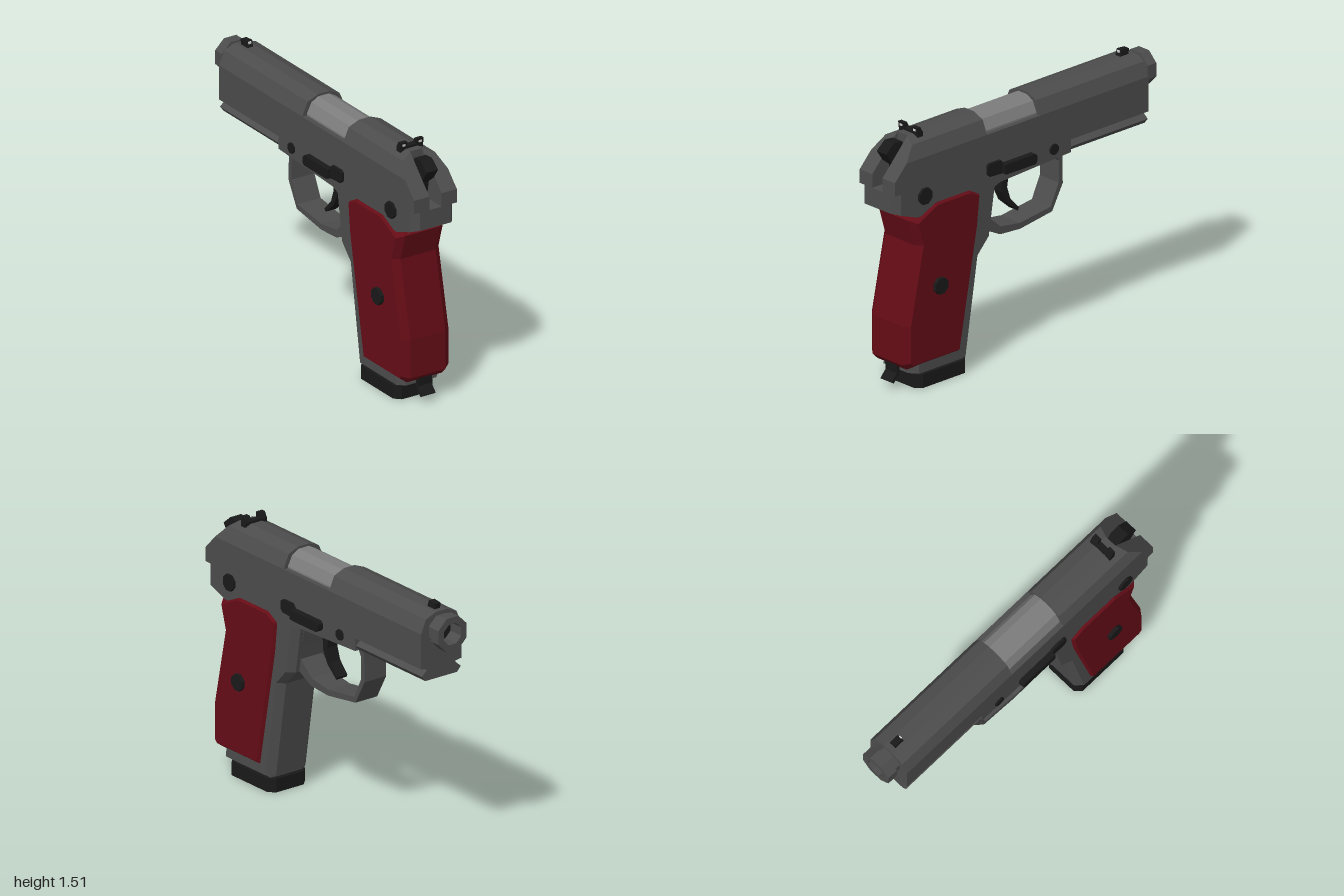
import * as THREE from 'three';

const mat = (color) => new THREE.MeshStandardMaterial({ color, flatShading: true, roughness: 0.8 });

export function createModel() {
  const model = new THREE.Group();
  const steel = mat(0x4c4c4c), black = mat(0x191919), red = mat(0x650c16), bare = mat(0x7c7c7c), white = mat(0xdddddd);

  const add = (name, geometry, material) => {
    geometry.computeVertexNormals();
    const mesh = new THREE.Mesh(geometry, material);
    mesh.name = name;
    model.add(mesh);
    return mesh;
  };
  const polygon = (points) => new THREE.Shape(points.map(([a, b]) => new THREE.Vector2(a, b)));

  // Side outline in (z, y), extruded across x from x0 to x1
  const sideways = (points, x0, x1, hole) => {
    const shape = polygon(points);
    if (hole) shape.holes.push(polygon(hole));
    return new THREE.ExtrudeGeometry(shape, { depth: x1 - x0, bevelEnabled: false })
      .rotateY(-Math.PI / 2).translate(x1, 0, 0);
  };
  // Cross-section in (x, y), extruded along z
  const along = (points, z0, z1) =>
    new THREE.ExtrudeGeometry(polygon(points), { depth: z1 - z0, bevelEnabled: false }).translate(0, 0, z0);
  // Mirror a half outline about x = 0
  const both = (half) => [...half, ...half.map(([x, y]) => [-x, y]).reverse()];
  const box = (x0, x1, y0, y1, z0, z1) =>
    new THREE.BoxGeometry(x1 - x0, y1 - y0, z1 - z0).translate((x0 + x1) / 2, (y0 + y1) / 2, (z0 + z1) / 2);
  // Stack of rectangles with cut corners: [y, zFront, zBack, halfWidth, cut]
  const stack = (sections) => {
    const position = [], index = [], n = 8, last = (sections.length - 1) * n;
    for (const [y, f, b, w, c] of sections) {
      const ring = [[w, b - c], [w, f + c], [w - c, f], [c - w, f], [-w, f + c], [-w, b - c], [c - w, b], [w - c, b]];
      for (const [x, z] of ring) position.push(x, y, z);
    }
    for (let s = 0; s < last; s += n) {
      for (let i = 0; i < n; i++) {
        const j = (i + 1) % n;
        index.push(s + i, s + j, s + n + j, s + i, s + n + j, s + n + i);
      }
    }
    for (let i = 1; i < n - 1; i++) index.push(0, i + 1, i, last, last + i, last + i + 1);
    const g = new THREE.BufferGeometry();
    g.setAttribute('position', new THREE.Float32BufferAttribute(position, 3));
    g.setIndex(index);
    return g;
  };

  // Slide, open at the top in the middle
  const crown = both([[0.14, 1.27], [0.14, 1.36], [0.105, 1.44], [0.037, 1.468]]);
  add('slideFront', along(crown, -0.9, -0.09), steel);
  add('slideRear', along(crown, 0.31, 0.81), steel);
  add('slideMiddle', box(-0.14, 0.14, 1.27, 1.36, -0.09, 0.31), steel);
  add('slideBase', box(-0.14, 0.14, 1.19, 1.27, -0.9, 0.81), steel);
  add('barrelChamber', along(both([[0.11, 1.35], [0.11, 1.37], [0.08, 1.43], [0.035, 1.455]]), -0.1, 0.32), bare);

  // Slanted slide tail, split by the hammer slot
  for (const s of [1, -1]) {
    const half = [[0.04, 1.27], [0.14, 1.27], [0.14, 1.36], [0.105, 1.44], [0.04, 1.467]];
    const g = along(half.map(([x, y]) => [s * x, y]), 0.81, 1);
    const p = g.attributes.position;
    for (let i = 0; i < p.count; i++) {
      if (p.getZ(i) > 0.9) p.setZ(i, Math.min(1, 0.81 + (1.47 - p.getY(i)) * 0.95));
    }
    add('slideTail', g, steel);
    add('slideTailBase', box(Math.min(s * 0.04, s * 0.14), Math.max(s * 0.04, s * 0.14), 1.19, 1.27, 0.81, 1), steel);
  }
  add('hammer', sideways([[0.97, 1.4], [0.91, 1.45], [0.85, 1.445], [0.81, 1.38], [0.81, 1.19],
    [0.86, 1.19], [0.88, 1.3], [0.925, 1.335]], -0.037, 0.037), black);

  // Muzzle: two hollow octagonal rings
  for (const [name, r, z0, z1] of [['muzzleNeck', 0.085, -0.94, -0.89], ['muzzleRing', 0.098, -1, -0.935]]) {
    const octagon = (apothem) => Array.from({ length: 8 }, (_, i) => {
      const a = (i + 0.5) * Math.PI / 4, k = apothem / Math.cos(Math.PI / 8);
      return [k * Math.cos(a), 1.36 + k * Math.sin(a)];
    });
    const shape = polygon(octagon(r));
    shape.holes.push(polygon(octagon(0.06)));
    add(name, new THREE.ExtrudeGeometry(shape, { depth: z1 - z0, bevelEnabled: false }).translate(0, 0, z0), steel);
  }
  add('bore', box(-0.06, 0.06, 1.3, 1.42, -0.905, -0.895), black);

  // Frame, with a rear end that narrows
  add('frame', sideways([[-0.32, 1.19], [0.955, 1.19], [0.955, 1.065], [0.83, 1.02], [0.3, 1.02],
    [0.21, 1.055], [-0.32, 1.08]], -0.14, 0.14), steel);
  const tail = sideways([[0.955, 1.19], [1, 1.19], [1, 1.08], [0.955, 1.065]], -0.14, 0.14);
  const tp = tail.attributes.position;
  for (let i = 0; i < tp.count; i++) if (tp.getZ(i) > 0.99) tp.setX(i, tp.getX(i) * 0.72);
  add('frameTail', tail, steel);
  add('accessoryRail', along(both([[0.14, 1.19], [0.14, 1.155], [0.1, 1.15], [0.1, 1.14],
    [0.135, 1.11], [0.11, 1.08]].reverse()), -0.9, -0.3), steel);

  // Trigger and guard
  add('triggerGuard', sideways(
    [[-0.315, 1.1], [-0.32, 0.88], [-0.24, 0.735], [0, 0.7], [0.15, 0.71], [0.27, 0.77], [0.3, 1.1]], -0.075, 0.075,
    [[-0.255, 1.075], [-0.29, 1.02], [-0.29, 0.89], [-0.23, 0.765], [0, 0.735], [0.145, 0.755], [0.245, 0.84], [0.205, 1.05]]), steel);
  add('trigger', sideways([[0.145, 1.07], [0.1, 1], [0.095, 0.93], [0.06, 0.86], [-0.02, 0.79], [-0.03, 0.805],
    [0.035, 0.875], [0.06, 0.95], [0.05, 1.01], [0.04, 1.07]], -0.035, 0.035), black);

  // Grip core, magazine foot and lanyard clip
  add('gripCore', stack([[0.1, 0.43, 0.86, 0.138, 0.04], [0.67, 0.34, 0.82, 0.138, 0.04],
    [0.76, 0.255, 0.8, 0.138, 0.04], [1.08, 0.205, 0.82, 0.138, 0.04]]), steel);
  add('magazineNeck', box(-0.11, 0.11, 0.07, 0.11, 0.46, 0.79), steel);
  add('magazineFoot', stack([[0, 0.432, 0.815, 0.13, 0.035], [0.08, 0.432, 0.815, 0.13, 0.035]]), black);
  add('lanyardClip', sideways([[0.9, 0.15], [0.895, 0.095], [0.935, 0.05], [0.92, 0.04], [0.875, 0.09],
    [0.875, 0.15]], -0.045, 0.045), black);

  // Wrap-around grip with chamfered edges
  const grip = polygon([[0.875, 1.005], [0.7, 1.09], [0.44, 1.09], [0.35, 1.04], [0.37, 0.85], [0.505, 0.135],
    [0.89, 0.135], [0.925, 0.17], [0.925, 0.4], [0.83, 0.85]]);
  add('grip', new THREE.ExtrudeGeometry(grip, {
    depth: 0.23, bevelThickness: 0.04, bevelSize: 0.03, bevelOffset: -0.03, bevelSegments: 1,
  }).rotateY(-Math.PI / 2).translate(0.115, 0, 0), red);

  // Pins through both sides: [name, z, y, radius, half length]
  for (const [name, z, y, r, h] of [['rearPin', 0.78, 1.135, 0.05, 0.155], ['gripScrew', 0.68, 0.585, 0.05, 0.176],
    ['frontPin', -0.19, 1.135, 0.032, 0.15]]) {
    add(name, new THREE.CylinderGeometry(r, r, 2 * h, 8).rotateY(Math.PI / 8).rotateZ(Math.PI / 2).translate(0, y, z), black);
  }

  // Slide stop levers
  for (const s of [1, -1]) {
    const plate = (points, x) => sideways(points, Math.min(s * 0.13, s * x), Math.max(s * 0.13, s * x));
    add('slideStopPlate', plate([[0.315, 1.13], [0.315, 1.18], [0.3, 1.19], [0.22, 1.19], [0.2, 1.165], [0.2, 1.11],
      [0.3, 1.115]], 0.157), black);
    add('slideStopLever', plate([[0.21, 1.11], [0.21, 1.165], [-0.02, 1.165], [-0.035, 1.15], [-0.035, 1.12],
      [-0.02, 1.105], [0.19, 1.105]], 0.177), black);
  }

  // Sights with pale dots
  add('frontSight', sideways([[-0.8, 1.46], [-0.815, 1.505], [-0.87, 1.5], [-0.865, 1.46]], -0.019, 0.019), black);
  add('frontSightDot', box(-0.009, 0.009, 1.487, 1.499, -0.83, -0.805), white);
  add('rearSightBase', box(-0.075, 0.075, 1.43, 1.482, 0.73, 0.768), black);
  for (const s of [1, -1]) {
    const x = s * 0.053;
    add('rearSightPost', sideways([[0.768, 1.47], [0.773, 1.51], [0.748, 1.51], [0.73, 1.475]], x - 0.022, x + 0.022), black);
    add('rearSightDot', box(x - 0.009, x + 0.009, 1.488, 1.5, 0.76, 0.775), white);
  }
  return model;
}
